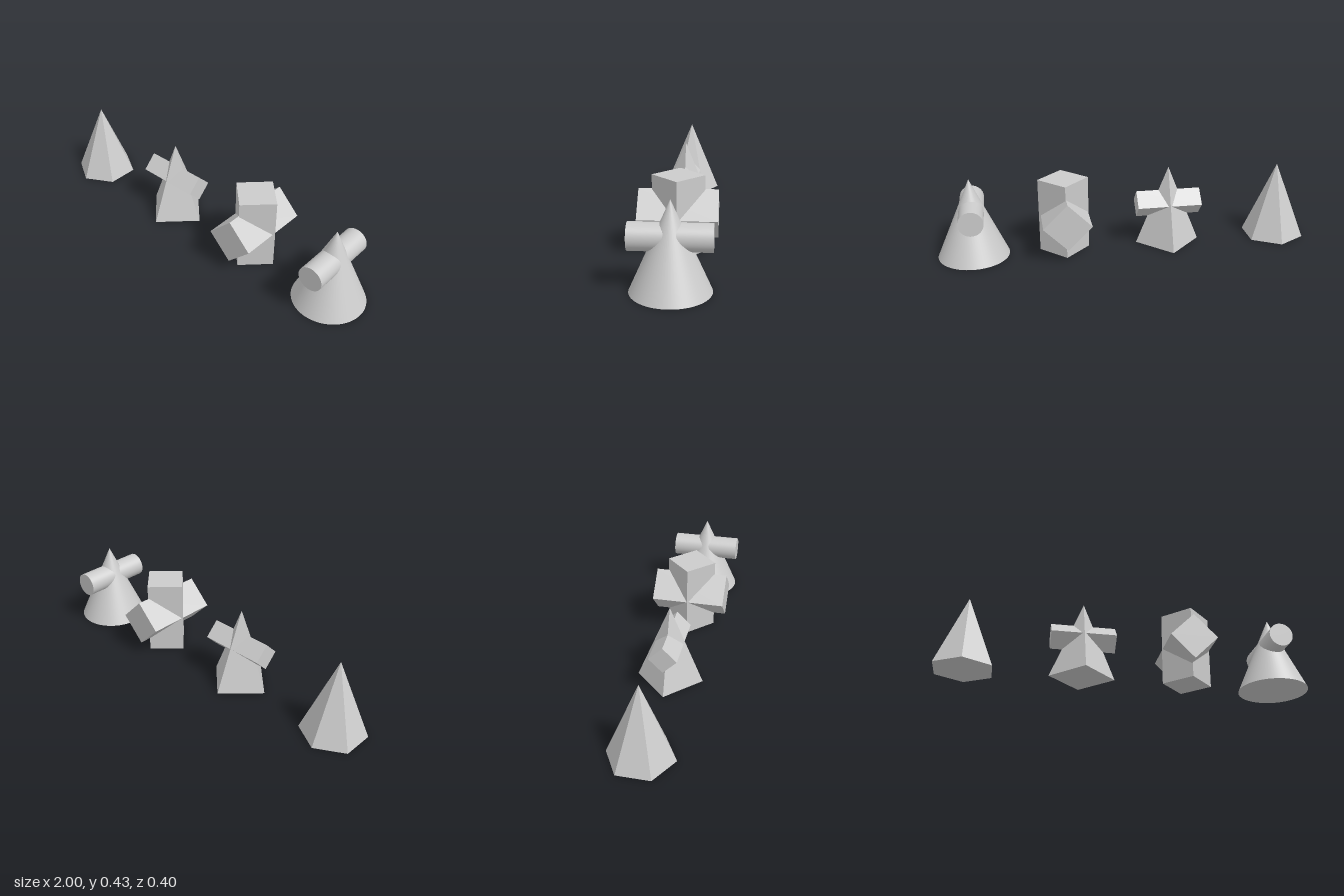
import * as THREE from 'three';

const flat = new THREE.MeshStandardMaterial({ color: 0xcccccc, flatShading: true });
const smooth = new THREE.MeshStandardMaterial({ color: 0xcccccc });
const ROUND = 64;

// Upright or tipped solid of n sides; axis is the direction of its length.
function solid(name, { top = 0, bottom, length, sides, axis = 'y', at }) {
  const geometry = new THREE.CylinderGeometry(top, bottom, length, sides, 1);
  if (axis === 'x') geometry.rotateZ(Math.PI / 2);
  if (axis === 'z') geometry.rotateX(Math.PI / 2);
  const mesh = new THREE.Mesh(geometry, sides === ROUND ? smooth : flat);
  mesh.name = name;
  mesh.position.set(...at);
  return mesh;
}

// Cone or pyramid standing on the ground.
const spire = (name, x, radius, height, sides) =>
  solid(name, { bottom: radius, length: height, sides, at: [x, height / 2, 0] });

// Prism or cylinder of constant section.
const bar = (name, axis, radius, length, sides, x, y) =>
  solid(name, { top: radius, bottom: radius, length, sides, axis, at: [x, y, 0] });

function assembly(name, ...parts) {
  const group = new THREE.Group();
  group.name = name;
  group.add(...parts);
  return group;
}

export function createModel() {
  return assembly('intersectingSolids',
    spire('hexagonalPyramid', -0.853, 0.17, 0.411, 6),

    // Square pyramid pierced by a diamond-section prism
    assembly('pyramidWithPrism',
      spire('squarePyramid', -0.241, 0.174, 0.43, 4),
      bar('crossPrism', 'x', 0.073, 0.348, 4, -0.241, 0.228)),

    // Two square prisms crossing, each turned on its edge
    assembly('crossedPrisms',
      bar('uprightPrism', 'y', 0.133, 0.4, 4, 0.327, 0.2),
      bar('levelPrism', 'z', 0.127, 0.4, 4, 0.324, 0.201)),

    // Round cone pierced by a cylinder
    assembly('coneWithCylinder',
      spire('roundCone', 0.812, 0.188, 0.426, ROUND),
      bar('crossCylinder', 'z', 0.065, 0.38, ROUND, 0.81, 0.254)));
}
